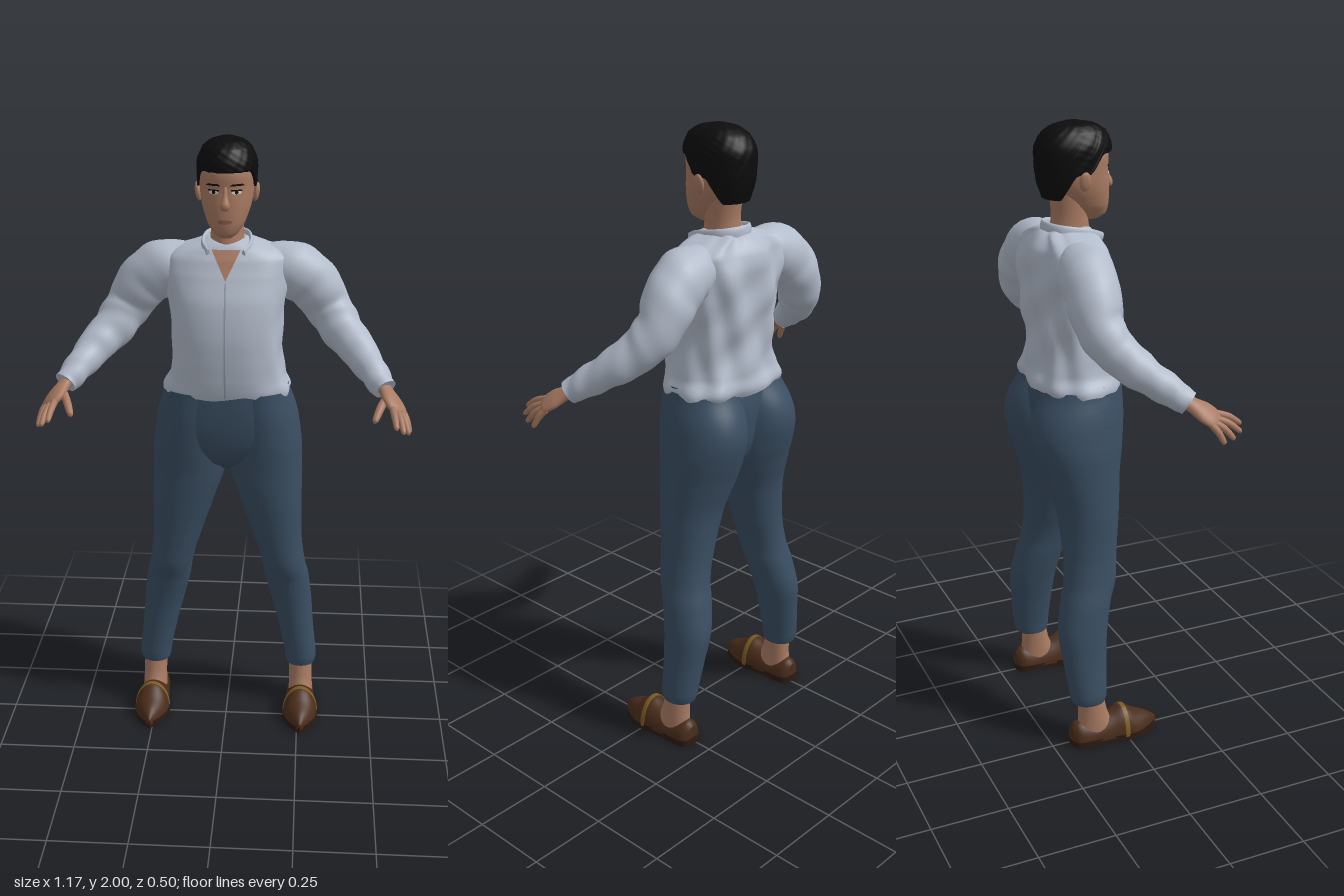
import * as THREE from 'three';

const mat = (name, color, side = THREE.FrontSide) =>
  Object.assign(new THREE.MeshStandardMaterial({ color, side }), { name });
const M = {
  skin: mat('skin', 0xa87a62), hair: mat('hair', 0x0c0c0d), shirt: mat('shirt', 0xb3bccb),
  seam: mat('shirt seam', 0x949dae), trousers: mat('trousers', 0x3a4e62), shoe: mat('shoe leather', 0x4a2d1b),
  sole: mat('sole', 0x2c1b12), trim: mat('shoe trim', 0x7a5a22), lips: mat('lips', 0x8f5a4c), white: mat('eye white', 0xd6cfc8),
};

// Catmull-Rom blend of number rows
function blend(rows, i, u) {
  const r = (k) => rows[Math.min(rows.length - 1, Math.max(0, k))];
  const [a, b, c, d] = [r(i - 1), r(i), r(i + 1), r(i + 2)];
  return b.map((_, k) => b[k] + 0.5 * u * (c[k] - a[k] + u * (2 * a[k] - 5 * b[k] + 4 * c[k] - d[k]
    + u * (3 * (b[k] - c[k]) + d[k] - a[k]))));
}
// Row [y, centreX, halfWidth, zFront, zBack] at a height
function rowAt(rows, y) {
  let i = 0;
  while (i < rows.length - 2 && y > rows[i + 1][0]) i++;
  const u = THREE.MathUtils.clamp((y - rows[i][0]) / (rows[i + 1][0] - rows[i][0]), 0, 1);
  return blend(rows, i, u);
}
const frontZ = (rows, x, y, p) => {
  const [, cx, rx, zf, zb] = rowAt(rows, y);
  return (zf + zb) / 2 + (zf - zb) / 2 * Math.pow(Math.max(0, 1 - Math.abs((x - cx) / rx) ** p), 1 / p);
};

// Closed skin over rings of points, with capped ends
function skinRings(rings) {
  const n = rings[0].length, pos = [], idx = [];
  rings.forEach((r) => r.forEach((p) => pos.push(p.x, p.y, p.z)));
  for (let i = 0; i < rings.length - 1; i++) for (let j = 0; j < n; j++) {
    const a = i * n + j, b = i * n + (j + 1) % n;
    idx.push(a, b, b + n, a, b + n, a + n);
  }
  [rings[0], rings[rings.length - 1]].forEach((ring, end) => {
    const base = pos.length / 3, c = new THREE.Vector3();
    ring.forEach((p) => { pos.push(p.x, p.y, p.z); c.addScaledVector(p, 1 / n); });
    pos.push(c.x, c.y, c.z);
    for (let j = 0; j < n; j++) {
      const a = base + j, b = base + (j + 1) % n;
      idx.push(...(end ? [a, b, base + n] : [b, a, base + n]));
    }
  });
  const g = new THREE.BufferGeometry();
  g.setAttribute('position', new THREE.Float32BufferAttribute(pos, 3));
  g.setIndex(idx);
  g.computeVertexNormals();
  return g;
}

// Upright loft of horizontal rings; low(t) shapes the bottom edge, bump(t, y) adds folds
function loft(rows, { p = 2, n = 48, steps = 40, low, bump = () => 0 } = {}) {
  const rings = [], y0 = rows[0][0], y1 = rows[rows.length - 1][0];
  for (let i = 0; i <= steps; i++) {
    const ring = [];
    for (let j = 0; j < n; j++) {
      const t = j / n * Math.PI * 2, s = Math.sin(t), c = Math.cos(t);
      const y = THREE.MathUtils.lerp(low ? low(t) : y0, y1, i / steps);
      const [, cx, rx, zf, zb] = rowAt(rows, y), k = bump(t, y);
      const q = (v) => Math.sign(v) * Math.abs(v) ** (2 / p);
      ring.push(new THREE.Vector3(cx + (rx + k) * q(s), y, (zf + zb) / 2 + ((zf - zb) / 2 + k) * q(c)));
    }
    rings.push(ring);
  }
  return skinRings(rings);
}

// Limb along points [x, y, z, radius along ref, radius across]
function limb(pts, ref, { n = 20, steps = 24, bump = () => 0 } = {}) {
  const at = (u) => {
    const f = u * (pts.length - 1), i = Math.min(pts.length - 2, Math.floor(f));
    return blend(pts, i, f - i);
  };
  const rings = [], v = (a) => new THREE.Vector3(a[0], a[1], a[2]);
  for (let i = 0; i <= steps; i++) {
    const u = i / steps, r = at(u), c = v(r);
    const d = v(at(Math.min(1, u + 0.01))).sub(v(at(Math.max(0, u - 0.01)))).normalize();
    const a = v(ref).addScaledVector(d, -v(ref).dot(d)).normalize(), b = d.clone().cross(a);
    rings.push(Array.from({ length: n }, (_, j) => {
      const t = j / n * Math.PI * 2, k = bump(t, u);
      return c.clone().addScaledVector(a, (r[3] + k) * Math.cos(t)).addScaledVector(b, (r[4] + k) * Math.sin(t));
    }));
  }
  return skinRings(rings);
}

// Thin patch lying on the front of a loft; width(v) for v in -1..1, shear leans it
function decal(rows, p, cx, cy, w, h, { width = () => 1, shear = 0, off = 0.003 } = {}) {
  const g = new THREE.PlaneGeometry(w, h, 10, 14), P = g.attributes.position;
  for (let i = 0; i < P.count; i++) {
    const dy = P.getY(i), x = cx + P.getX(i) * width(dy / h * 2) + shear * dy, y = cy + dy;
    P.setXYZ(i, x, y, frontZ(rows, x, y, p) + off);
  }
  g.computeVertexNormals();
  return g;
}
const oval = (v) => Math.sqrt(Math.max(0, 1 - v * v));

function mirror(geo) {
  const g = geo.clone(), ix = g.index.array;
  g.scale(-1, 1, 1);
  for (let i = 0; i < ix.length; i += 3) [ix[i], ix[i + 1]] = [ix[i + 1], ix[i]];
  g.computeVertexNormals();
  return g;
}

export function createModel() {
  const model = new THREE.Group();
  const add = (name, geo, m) => {
    const mesh = new THREE.Mesh(geo, m);
    mesh.name = name;
    model.add(mesh);
  };
  const pair = (name, geo, m) => { add(name + 'Left', geo, m); add(name + 'Right', mirror(geo), m); };

  // Head and neck
  const head = [[1.7, 0, .02, .02, -.04], [1.712, 0, .036, .042, -.05], [1.745, 0, .058, .05, -.085], [1.8, 0, .077, .05, -.135],
    [1.85, 0, .084, .046, -.16], [1.9, 0, .085, .046, -.165], [1.95, 0, .07, .025, -.14], [1.98, 0, .03, -.02, -.1]];
  add('head', loft(head, { p: 2.2 }), M.skin);
  add('neck', loft([[1.58, 0, .075, .0, -.15], [1.66, 0, .057, -.01, -.14], [1.72, 0, .052, -.018, -.132], [1.8, 0, .055, -.02, -.14]]), M.skin);
  add('nose', limb([[0, 1.862, .042, .006, .006], [0, 1.83, .05, .009, .009], [0, 1.805, .057, .012, .015], [0, 1.793, .05, .005, .01]], [0, 0, 1]), M.skin);
  pair('ear', new THREE.SphereGeometry(1, 16, 12).scale(.01, .03, .019).rotateZ(-.15).translate(.09, 1.83, -.06), M.skin);

  // Face details
  pair('eyeWhite', decal(head, 2.2, .035, 1.845, .03, .011, { width: oval, off: .002 }), M.white);
  pair('iris', decal(head, 2.2, .035, 1.846, .011, .011, { width: oval, off: .0035 }), M.hair);
  pair('eyelid', decal(head, 2.2, .035, 1.852, .034, .004, { off: .004 }), M.hair);
  pair('brow', decal(head, 2.2, .037, 1.868, .038, .006, { width: (v) => 1 - .2 * v, off: .003 }), M.hair);
  add('lips', decal(head, 2.2, 0, 1.757, .044, .014, { width: oval, off: .004 }), M.lips);

  // Short hair with a hairline that drops from forehead to nape
  const hairline = (t) => {
    const c = Math.cos(t), S = THREE.MathUtils.smoothstep;
    return 1.85 + .06 * S(c, .15, .6) - .078 * S(-c, .1, .6);
  };
  add('hair', loft([[1.75, 0, .06, -.02, -.14], [1.77, 0, .07, 0, -.158], [1.82, 0, .088, .04, -.175], [1.88, 0, .093, .054, -.182],
    [1.93, 0, .092, .056, -.18], [1.97, 0, .075, .038, -.155], [1.99, 0, .05, .005, -.12], [2, 0, .012, -.045, -.08]],
  { p: 2.2, n: 72, low: hairline, bump: (t, y) => .0015 * Math.sin(17 * t + 90 * y) * Math.sin(210 * y) }), M.hair);

  // Shirt body with soft folds and a wavy hem
  const trunk = [[1.16, 0, .2, .05, -.2], [1.2, 0, .207, .062, -.217], [1.24, 0, .187, .07, -.207], [1.32, 0, .176, .078, -.2],
    [1.4, 0, .176, .08, -.208], [1.5, 0, .185, .066, -.215], [1.58, 0, .2, .035, -.213], [1.63, 0, .195, .014, -.2],
    [1.655, 0, .155, 0, -.185], [1.675, 0, .09, -.012, -.168], [1.685, 0, .06, -.03, -.14]];
  const folds = (t, y) => (1 - Math.cos(t)) * (.0035 * Math.sin(9 * t + 14 * y) + .002 * Math.sin(5 * t - 40 * y));
  add('shirtBody', loft(trunk, { p: 2.5, n: 80, steps: 56, bump: folds,
    low: (t) => 1.187 + .009 * Math.sin(7 * t) * Math.sin(3 * t + 1) - .008 * (1 - Math.cos(t)) / 2 }), M.shirt);
  add('openNeck', decal(trunk, 2.5, 0, 1.615, .09, .09, { width: (v) => (v + 1) / 2, off: .002 }), M.skin);
  add('placket', decal(trunk, 2.5, 0, 1.38, .005, .37, { off: .002 }), M.seam);
  pair('collarFlap', decal(trunk, 2.5, .053, 1.628, .034, .068, { width: (v) => .75 - .3 * v, shear: .35, off: .009 }), M.shirt);
  add('collar', limb([[.055, 1.652, .012, .012, .005], [.075, 1.664, -.04, .02, .007], [.062, 1.676, -.125, .023, .008], [0, 1.68, -.158, .024, .008],
    [-.062, 1.676, -.125, .023, .008], [-.075, 1.664, -.04, .02, .007], [-.055, 1.652, .012, .012, .005]], [0, 1, 0], { steps: 48 }), M.shirt);

  // Sleeves
  pair('sleeve', limb([[.11, 1.585, -.1, .07, .075], [.195, 1.58, -.105, .088, .085], [.265, 1.535, -.115, .088, .083], [.32, 1.455, -.118, .075, .073],
    [.365, 1.39, -.085, .068, .065], [.42, 1.335, -.03, .058, .056], [.468, 1.283, .04, .046, .046], [.502, 1.247, .088, .038, .038]],
  [1, 1, 0], { n: 32, steps: 48, bump: (t, u) => .003 * Math.sin(45 * u + 2 * Math.sin(t)) * Math.sin(t + 9 * u) }), M.shirt);

  // Hands: palm, four fingers and a thumb
  const across = [-.65, .3, .7];
  pair('palm', limb([[.485, 1.265, .066, .026, .02], [.507, 1.242, .098, .028, .019], [.524, 1.222, .127, .039, .019],
    [.54, 1.204, .15, .038, .015], [.546, 1.196, .162, .03, .009]], across), M.skin);
  const fingers = [
    ['indexFinger', [.523, 1.213, .165], [.535, 1.172, .247]], ['middleFinger', [.538, 1.203, .158], [.558, 1.155, .236]],
    ['ringFinger', [.55, 1.196, .148], [.575, 1.142, .205]], ['littleFinger', [.558, 1.192, .135], [.581, 1.135, .17]],
    ['thumb', [.505, 1.228, .12], [.468, 1.18, .208]]];
  fingers.forEach(([name, a, b]) => {
    const r = name === 'thumb' ? .013 : .0105;
    const mid = a.map((v, k) => (v + b[k]) / 2 + (k === 1 ? .006 : 0));
    const tip = a.map((v, k) => v + (b[k] - v) * .92);
    pair(name, limb([[...a, r, r], [...mid, r, r], [...tip, r * .75, r * .75], [...b, .002, .002]], across, { n: 12, steps: 12 }), M.skin);
  });

  // Trousers: hips and two legs
  add('hips', loft([[.915, 0, .03, -.04, -.13], [.95, 0, .1, .01, -.17], [1, 0, .19, .037, -.19], [1.06, 0, .228, .05, -.2],
    [1.13, 0, .222, .056, -.205], [1.215, 0, .2, .056, -.195]], { p: 2.4 }), M.trousers);
  pair('trouserLeg', loft([[.155, .257, .05, -.07, -.18], [.17, .258, .054, -.065, -.187], [.3, .239, .06, -.058, -.202], [.4, .222, .069, -.048, -.211],
    [.5, .204, .075, -.028, -.193], [.56, .192, .073, -.006, -.178], [.65, .173, .08, .004, -.172], [.8, .147, .103, .02, -.183],
    [.92, .126, .122, .03, -.218], [1, .121, .125, .04, -.243], [1.06, .117, .121, .046, -.252], [1.12, .111, .116, .05, -.238], [1.2, .1, .104, .05, -.196]],
  { p: 2.1, steps: 60 }), M.trousers);
  pair('ankle', loft([[.04, .26, .042, -.03, -.165], [.1, .259, .04, -.06, -.16], [.19, .257, .04, -.075, -.16]], { n: 24, steps: 8 }), M.skin);

  // Slip-on shoes: flat-bottomed upper, strap and sole
  const foot = [[.26, .015, -.186, .05, .026], [.26, .015, -.165, .066, .043], [.26, .015, -.11, .06, .048], [.26, .015, -.05, .075, .053],
    [.26, .015, -.005, .09, .058], [.26, .015, .04, .062, .055], [.26, .015, .085, .042, .032], [.26, .015, .118, .018, .006]];
  const flatten = (g) => {
    const P = g.attributes.position;
    for (let i = 0; i < P.count; i++) P.setY(i, Math.max(.012, P.getY(i)));
    g.computeVertexNormals();
    return g;
  };
  pair('shoeUpper', flatten(limb(foot, [0, 1, 0], { n: 32, steps: 36 })), M.shoe);
  pair('shoeStrap', flatten(limb([[.26, .015, -.014, .092, .06], [.26, .015, -.005, .093, .061], [.26, .015, .002, .091, .06]], [0, 1, 0], { n: 32, steps: 3 })), M.trim);
  const outline = new THREE.Shape();
  outline.moveTo(.26, -.122);
  outline.splineThru([[.295, -.085], [.317, -.035], [.32, .005], [.31, .07], [.306, .16], [.285, .188], [.235, .188], [.214, .16],
    [.21, .07], [.2, .005], [.203, -.035], [.225, -.085], [.26, -.122]].map(([x, y]) => new THREE.Vector2(x, y)));
  const sole = new THREE.ExtrudeGeometry(outline, { depth: .022, bevelEnabled: false, curveSegments: 48 }).rotateX(-Math.PI / 2).scale(1, 1, 1);
  add('soleLeft', sole, M.sole);
  add('soleRight', sole.clone().translate(-.52, 0, 0), M.sole);
  return model;
}
